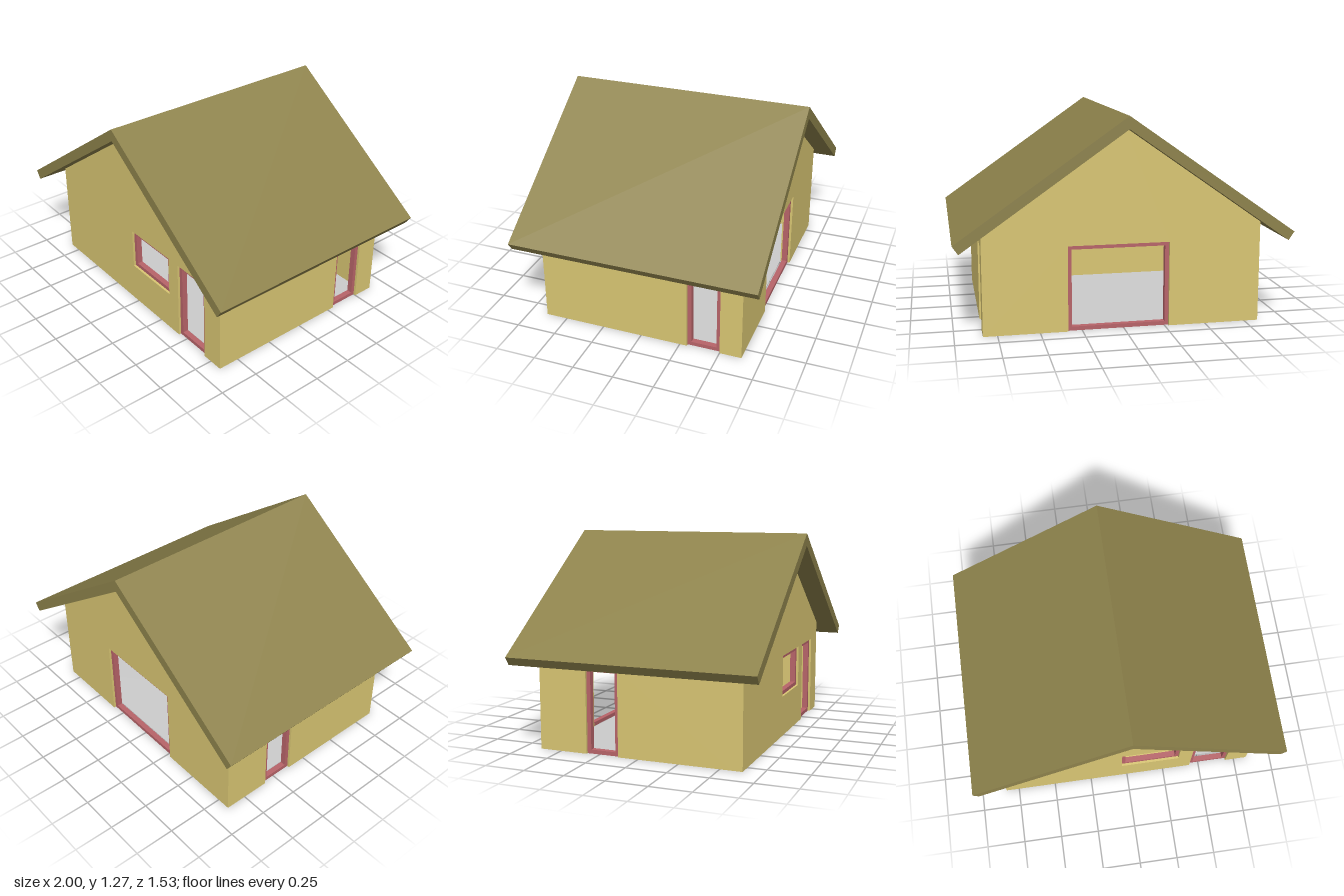
import * as THREE from 'three';

const HALF_X = 0.835, HALF_Z = 0.635, T = 0.065;   // outer wall faces, wall thickness
const PEAK = 1.2, SLOPE = 0.7;                     // underside of the roof
const roofY = x => PEAK - SLOPE * Math.abs(x);

const material = (color, extra = {}) =>
  new THREE.MeshStandardMaterial({ color, flatShading: true, ...extra });
const wallMat = material(0xd9c673);
const roofMat = material(0x8d824b);
const frameMat = material(0xb86469);
const floorMat = material(0xcccccc);

const V = (x, y) => new THREE.Vector2(x, y);
const rect = (l, r, b, t) => [V(l, b), V(r, b), V(r, t), V(l, t)];
const extrude = (shape, depth) =>
  new THREE.ExtrudeGeometry(shape, { depth, bevelEnabled: false });

function mesh(name, geometry, mat, z = 0) {
  const m = new THREE.Mesh(geometry, mat);
  m.name = name;
  m.position.z = z;
  return m;
}

// Wall panel: windows become holes, doors are notches in the bottom edge
function wallGeometry(halfWidth, top, openings) {
  const base = [V(-halfWidth, 0)];
  const holes = [];
  for (const { l, r, b, t } of openings) {
    if (b > 0) holes.push(new THREE.Path(rect(l, r, b, t)));
    else base.push(V(l, 0), V(l, t), V(r, t), V(r, 0));
  }
  const shape = new THREE.Shape([...base, V(halfWidth, 0), ...top]);
  shape.holes = holes;
  return extrude(shape, T);
}

// Frame set back inside the thickness of the wall
function frameGeometry({ l, r, b, t }) {
  const w = 0.024;
  const shape = new THREE.Shape(rect(l, r, b, t));
  shape.holes.push(new THREE.Path(rect(l + w, r - w, b + w, t - w)));
  return extrude(shape, 0.035);
}

// One side of the house, built facing +z and then turned into place
function side(name, angle, distance, geometry, openings) {
  const g = new THREE.Group();
  g.name = name;
  g.rotation.y = angle;
  g.add(mesh(name + 'Wall', geometry, wallMat, distance - T));
  for (const o of openings)
    g.add(mesh(o.name, frameGeometry(o), frameMat, distance - 0.05));
  return g;
}

function gable(name, angle, openings) {
  const eave = roofY(HALF_X);
  const top = [V(HALF_X, eave), V(0, PEAK), V(-HALF_X, eave)];
  return side(name, angle, HALF_Z, wallGeometry(HALF_X, top, openings), openings);
}

function eaveSide(name, angle, openings) {
  const half = HALF_Z - T, eave = roofY(HALF_X);
  const geo = wallGeometry(half, [V(half, eave), V(-half, eave)], openings);
  // Slope the top of the wall to meet the roof
  const p = geo.attributes.position;
  for (let i = 0; i < p.count; i++)
    if (p.getY(i) > eave - 0.01) p.setY(i, roofY(HALF_X - T + p.getZ(i)));
  geo.computeVertexNormals();
  return side(name, angle, HALF_X, geo, openings);
}

export function createModel() {
  const house = new THREE.Group();
  house.name = 'house';
  const t = 0.515;

  // Walls with their door and window frames
  house.add(
    gable('front', 0, [
      { name: 'frontWindowFrame', l: -0.037, r: 0.345, b: 0.255, t },
      { name: 'frontDoorFrame', l: 0.436, r: 0.69, b: 0, t },
    ]),
    gable('back', Math.PI, [{ name: 'backDoorFrame', l: -0.335, r: 0.275, b: 0, t }]),
    eaveSide('leftSide', Math.PI / 2, [{ name: 'leftDoorFrame', l: 0.295, r: 0.5, b: 0, t }]),
    eaveSide('rightSide', -Math.PI / 2, [{ name: 'rightDoorFrame', l: -0.33, r: -0.125, b: 0, t }]),
  );

  // Two mirrored roof slabs meeting at the ridge
  const depth = 1.526;
  for (const s of [1, -1]) {
    const slab = new THREE.Shape([
      V(0, PEAK), V(s * 0.965, roofY(0.965)), V(s, 0.575), V(0, 1.275),
    ]);
    house.add(mesh(s > 0 ? 'leftRoof' : 'rightRoof', extrude(slab, depth), roofMat, -depth / 2));
  }

  // Floor slab between the walls
  const floor = mesh('floor',
    new THREE.BoxGeometry(2 * (HALF_X - T), 0.006, 2 * (HALF_Z - T)), floorMat);
  floor.position.y = 0.003;
  house.add(floor);

  return house;
}
